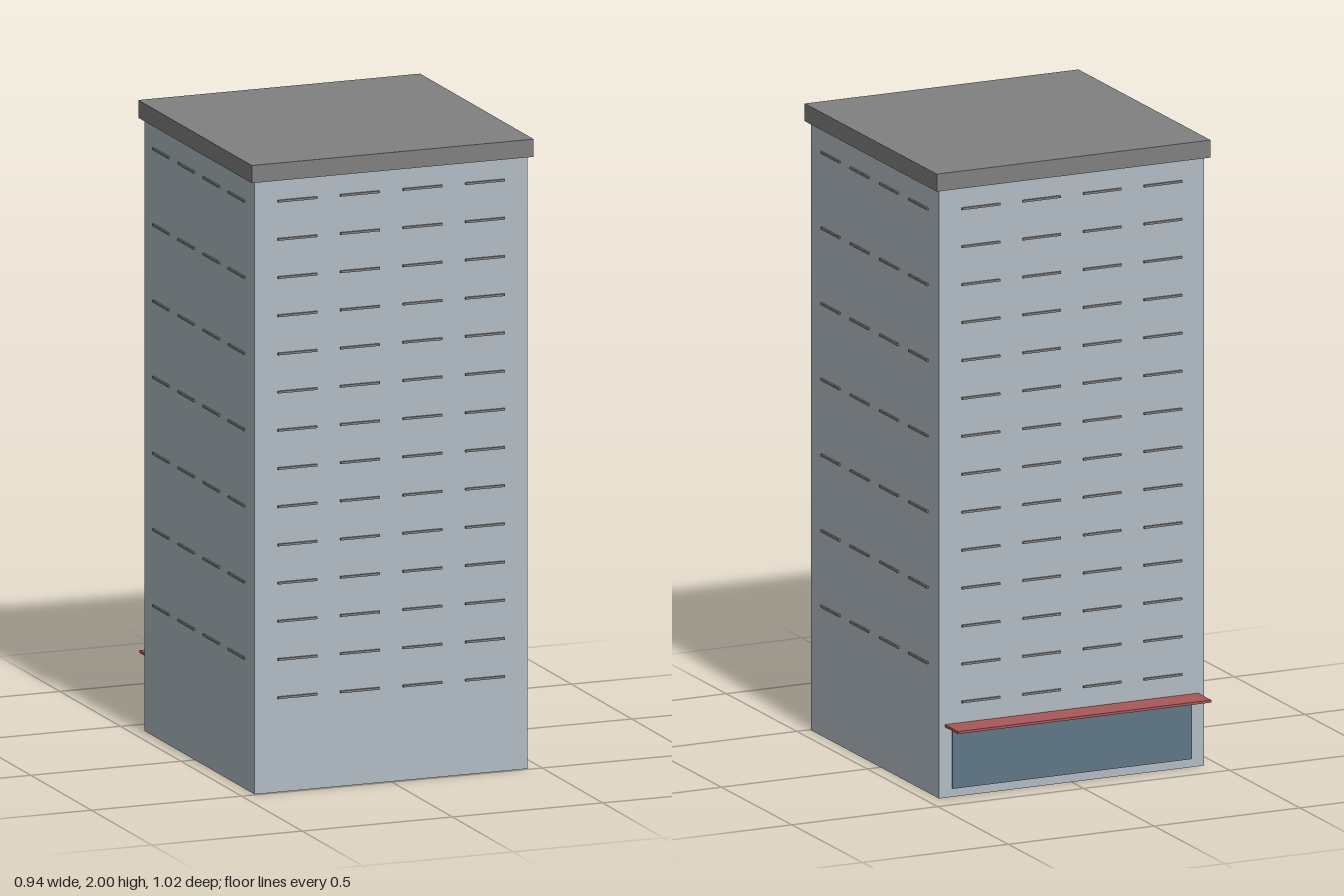
import * as THREE from 'three';

export function createModel() {
  const model = new THREE.Group();
  model.name = 'towerBlock';

  const material = (name, color) => {
    const m = new THREE.MeshStandardMaterial({ color });
    m.name = name;
    return m;
  };
  const wall = material('pale blue wall', 0xb0bcc3);
  const trim = material('grey trim', 0x808080);
  const glass = material('shop glass', 0x607686);
  const red = material('awning red', 0xa85858);

  const box = (name, mat, size, pos, parent = model) => {
    const mesh = new THREE.Mesh(new THREE.BoxGeometry(...size), mat);
    mesh.name = name;
    mesh.position.set(...pos);
    parent.add(mesh);
    return mesh;
  };

  // Main block and overhanging flat roof
  const midZ = 0.039;
  const half = 0.454;
  box('walls', wall, [half * 2, 1.945, half * 2], [0, 0.9725, midZ]);
  box('roof', trim, [0.938, 0.056, 0.938], [0, 1.972, midZ]);

  // Window ledges, laid out on each face from the middle of the block
  const addLedges = (name, angle, rows, startY, stepY) => {
    const face = new THREE.Group();
    face.name = name;
    face.position.z = midZ;
    face.rotation.y = angle;
    for (let row = 0; row < rows; row++) {
      for (let col = 0; col < 4; col++) {
        box('windowLedge', trim, [0.13, 0.007, 0.007],
          [(col - 1.5) * 0.208, startY + row * stepY, half + 0.0025], face);
      }
    }
    model.add(face);
  };
  addLedges('frontLedges', 0, 14, 0.3, 0.1212);
  addLedges('backLedges', Math.PI, 14, 0.3, 0.1212);
  addLedges('leftLedges', Math.PI / 2, 7, 0.415, 0.2417);
  addLedges('rightLedges', -Math.PI / 2, 7, 0.415, 0.2417);

  // Shop window and awning at the back
  const backZ = midZ - half;
  box('shopWindow', glass, [0.82, 0.2, 0.006], [0, 0.127, backZ - 0.002]);
  box('awning', red, [0.868, 0.008, 0.093], [0, 0.23, backZ - 0.0465]);

  return model;
}
